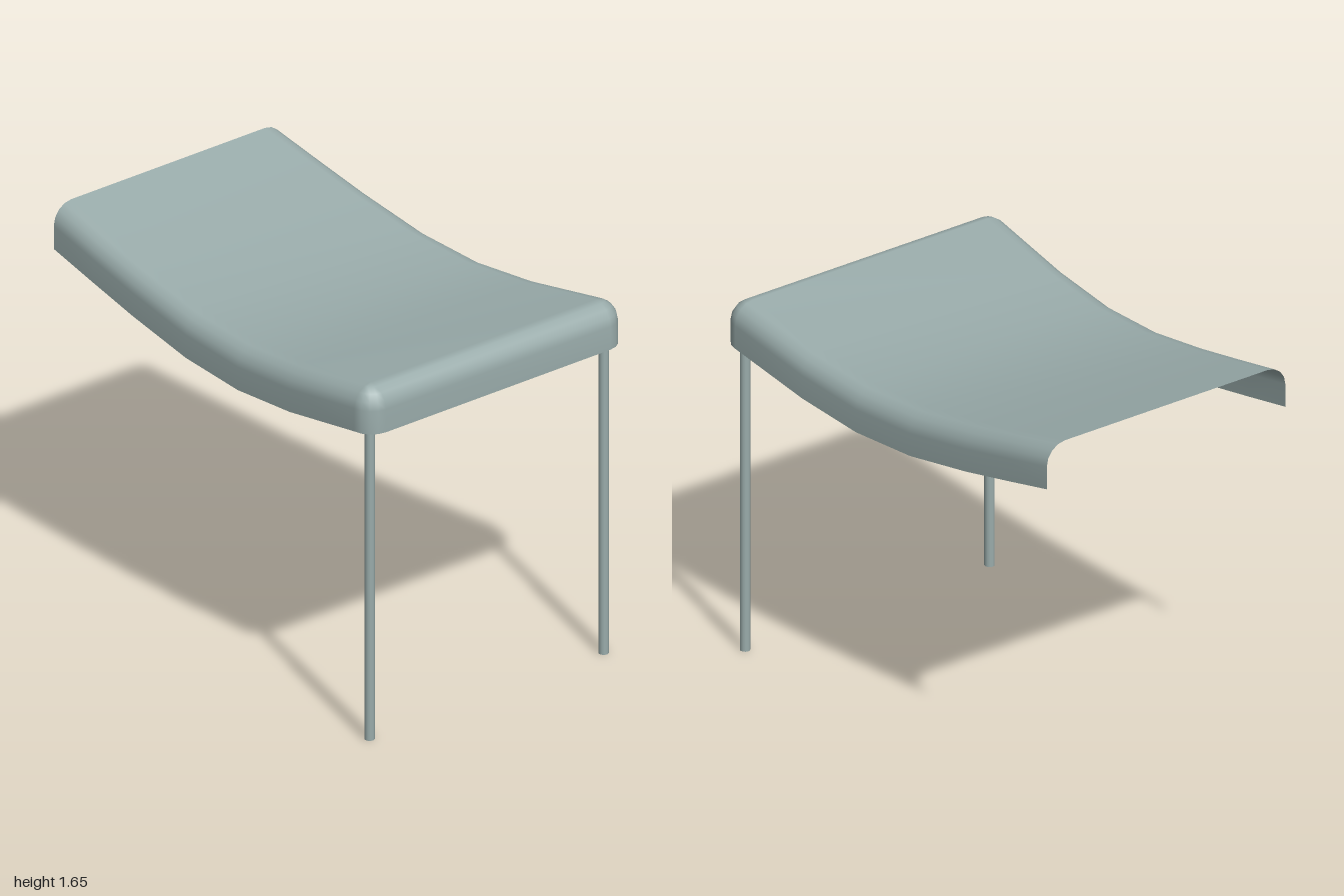
import * as THREE from 'three';
import { mergeVertices } from 'three/addons/utils/BufferGeometryUtils.js';

const R = 0.09;      // radius of the rolled edge
const SKIRT = 0.19;  // full depth of the edge
const FRONT = 0.91;  // where the front roll begins

// Sagging centre line, [z, y] from back to front
const SPINE = [[-1, 1.65], [-0.75, 1.594], [-0.5, 1.54], [-0.16, 1.48], [0.17, 1.46], [0.5, 1.485], [FRONT, 1.55]];

function seatShell() {
  // Stations along the left side and around the front left corner, then mirrored
  const half = SPINE.map(([z, y]) => ({
    x: 0.6 + 0.08 * (z + 1) / (FRONT + 1) - R, y, z, dx: 1, dz: 0,
  }));
  const corner = half[half.length - 1];
  for (let k = 1; k <= 4; k++) {
    const a = k * Math.PI / 8;
    half.push({ ...corner, dx: Math.cos(a), dz: Math.sin(a) });
  }
  const mirrored = half.map(s => ({ ...s, x: -s.x, dx: -s.dx })).reverse();
  const stations = [...half, ...mirrored];

  // Edge section: quarter round followed by a vertical skirt
  const edge = [];
  for (let k = 0; k <= 4; k++) {
    const a = k * Math.PI / 8;
    edge.push([R * Math.sin(a), R * (1 - Math.cos(a))]);
  }
  edge.push([R, SKIRT]);

  const pos = [], index = [], m = edge.length, n = stations.length;
  for (const s of stations)
    for (const [out, drop] of edge) pos.push(s.x + s.dx * out, s.y - drop, s.z + s.dz * out);

  // Rolled edge around left, front and right
  for (let i = 0; i < n - 1; i++)
    for (let j = 0; j < m - 1; j++) {
      const a = i * m + j, b = a + m;
      index.push(a, b, a + 1, b, b + 1, a + 1);
    }
  // Sitting surface between the two sides
  for (let i = 0; i < SPINE.length - 1; i++) {
    const l0 = i * m, l1 = l0 + m, r0 = (n - 1 - i) * m, r1 = r0 - m;
    index.push(l0, r0, l1, r0, r1, l1);
  }

  const geo = new THREE.BufferGeometry();
  geo.setAttribute('position', new THREE.Float32BufferAttribute(pos, 3));
  geo.setIndex(index);
  const welded = mergeVertices(geo, 1e-4);
  welded.computeVertexNormals();
  return welded;
}

export function createModel() {
  const group = new THREE.Group();
  const paint = new THREE.MeshStandardMaterial({ color: 0x9aacab, side: THREE.DoubleSide });
  paint.name = 'grey green paint';

  const seat = new THREE.Mesh(seatShell(), paint);
  seat.name = 'seat';
  group.add(seat);

  // Two slim front legs tucked inside the skirt
  const legHeight = 1.42;
  const legGeo = new THREE.CylinderGeometry(0.021, 0.021, legHeight, 12);
  for (const side of [1, -1]) {
    const leg = new THREE.Mesh(legGeo, paint);
    leg.name = side > 0 ? 'leftFrontLeg' : 'rightFrontLeg';
    leg.position.set(side * 0.615, legHeight / 2, 0.93);
    group.add(leg);
  }
  return group;
}
